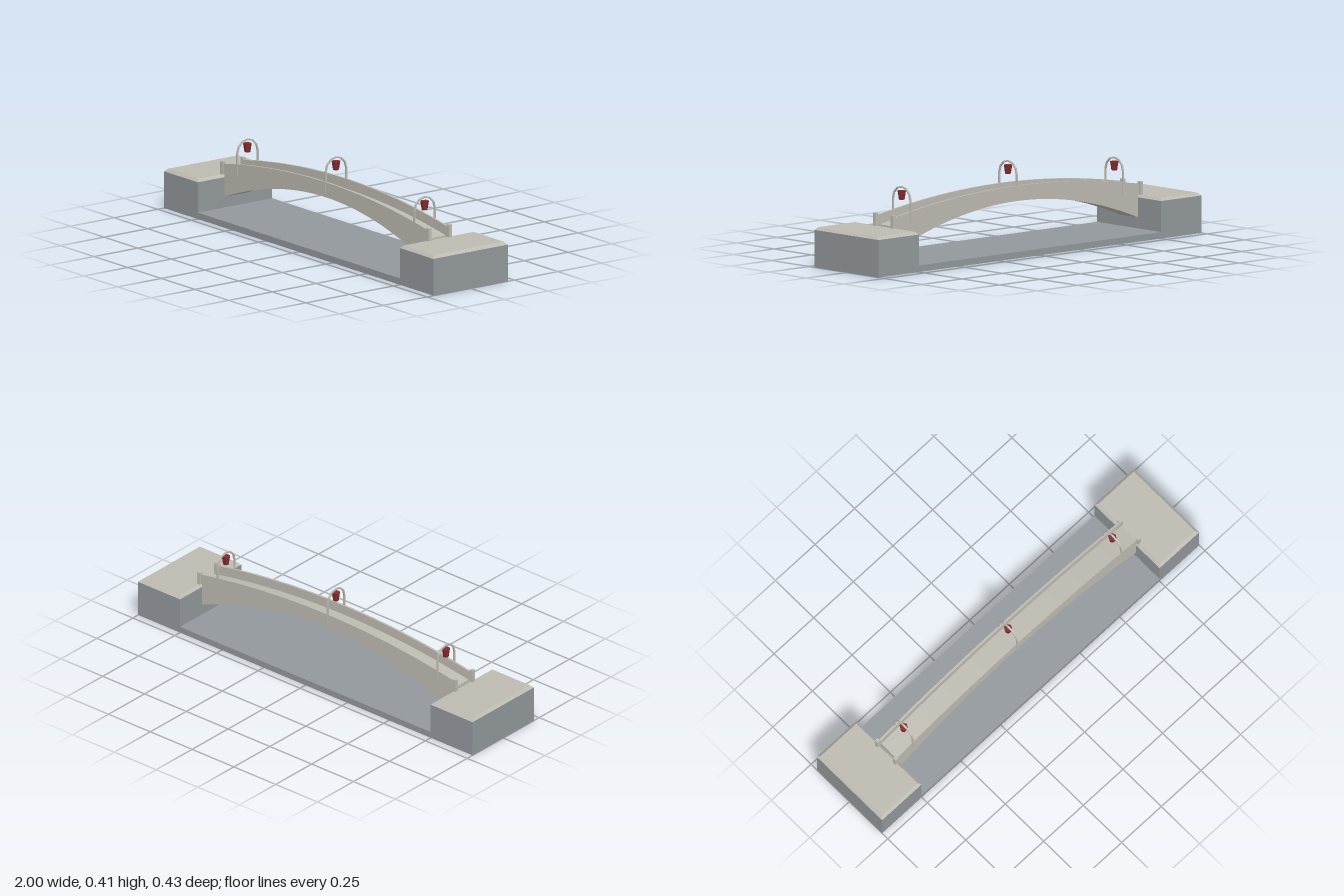
import * as THREE from 'three';

const mat = (name, color, extra = {}) => {
  const m = new THREE.MeshStandardMaterial({ color, ...extra });
  m.name = name;
  return m;
};

export function createModel() {
  const stone = mat('pale stone', 0xbdbab0);
  const rock = mat('grey rock', 0x92989c);
  const red = mat('lantern red', 0x842a2d, { flatShading: true });
  const hoopStone = stone.clone();
  hoopStone.flatShading = true;

  const model = new THREE.Group();
  model.name = 'archBridge';
  const add = (name, geo, material, x = 0, y = 0, z = 0, parent = model) => {
    const mesh = new THREE.Mesh(geo, material);
    mesh.name = name;
    mesh.position.set(x, y, z);
    parent.add(mesh);
    return mesh;
  };

  const DEPTH = 0.426, HALF = 0.75;
  const deckY = x => 0.257 - 0.067 * (x / HALF) ** 2;
  const railY = x => 0.302 - 0.067 * (x / HALF) ** 2;
  const soffitY = x => 0.232 - 0.152 * (x / HALF) ** 2;

  // Solid between two curves, extruded across the bridge
  const archSlab = (low, high, half, width) => {
    const pts = [], n = 32;
    for (let i = 0; i <= n; i++) {
      const x = half * (2 * i / n - 1);
      pts.push(new THREE.Vector2(x, low(x)));
    }
    for (let i = n; i >= 0; i--) {
      const x = half * (2 * i / n - 1);
      pts.push(new THREE.Vector2(x, high(x)));
    }
    const geo = new THREE.ExtrudeGeometry(new THREE.Shape(pts), { depth: width, bevelEnabled: false });
    return geo.translate(0, 0, -width / 2);
  };

  // Channel floor and the two banks, with chamfered paving on top
  add('channelFloor', new THREE.BoxGeometry(1.5, 0.03, DEPTH), rock, 0, 0.015, 0);
  for (const s of [-1, 1]) {
    add('bank', new THREE.BoxGeometry(0.25, 0.172, DEPTH), rock, s * 0.875, 0.086, 0);
    let cap = new THREE.BoxGeometry(0.25, 0.013, DEPTH);
    const p = cap.attributes.position;
    for (let i = 0; i < p.count; i++) {
      if (p.getY(i) > 0) {
        p.setX(i, p.getX(i) - Math.sign(p.getX(i)) * 0.013);
        p.setZ(i, p.getZ(i) - Math.sign(p.getZ(i)) * 0.013);
      }
    }
    cap.computeVertexNormals();
    add('bankPaving', cap, stone, s * 0.875, 0.1785, 0);
  }

  // Arched span with parapets and end posts
  add('archSpan', archSlab(soffitY, deckY, HALF, 0.12), stone);
  for (const s of [-1, 1]) {
    add('parapet', archSlab(x => deckY(x) - 0.004, railY, 0.768, 0.01), stone, 0, 0, s * 0.055);
    for (const e of [-1, 1]) {
      add('endPost', new THREE.BoxGeometry(0.018, 0.06, 0.018), stone, e * 0.765, 0.214, s * 0.059);
    }
  }

  // Square-section hoop: straight legs and a six-sided arc
  const hoopShape = () => {
    const outline = (r, reverse) => {
      const pts = [[r, -0.055]];
      for (let i = 0; i <= 6; i++) {
        const a = i * Math.PI / 6;
        pts.push([r * Math.cos(a), 0.05 + r * Math.sin(a)]);
      }
      pts.push([-r, -0.055]);
      if (reverse) pts.reverse();
      return pts.map(([x, y]) => new THREE.Vector2(x, y));
    };
    return new THREE.Shape([...outline(0.062, false), ...outline(0.055, true)]);
  };
  const hoopGeo = new THREE.ExtrudeGeometry(hoopShape(), { depth: 0.008, bevelEnabled: false });
  hoopGeo.translate(0, 0, -0.004).rotateY(Math.PI / 2);
  const lanternGeo = new THREE.CylinderGeometry(0.02, 0.0135, 0.041, 6);
  lanternGeo.rotateY(Math.PI / 6);

  // Lantern hoops spanning the deck
  for (const x of [-0.658, 0, 0.658]) {
    const lamp = new THREE.Group();
    lamp.name = 'lanternHoop';
    lamp.position.set(x, railY(x), 0);
    add('hoop', hoopGeo, hoopStone, 0, 0, 0, lamp);
    add('lantern', lanternGeo, red, 0, 0.07, 0, lamp);
    model.add(lamp);
  }

  return model;
}
